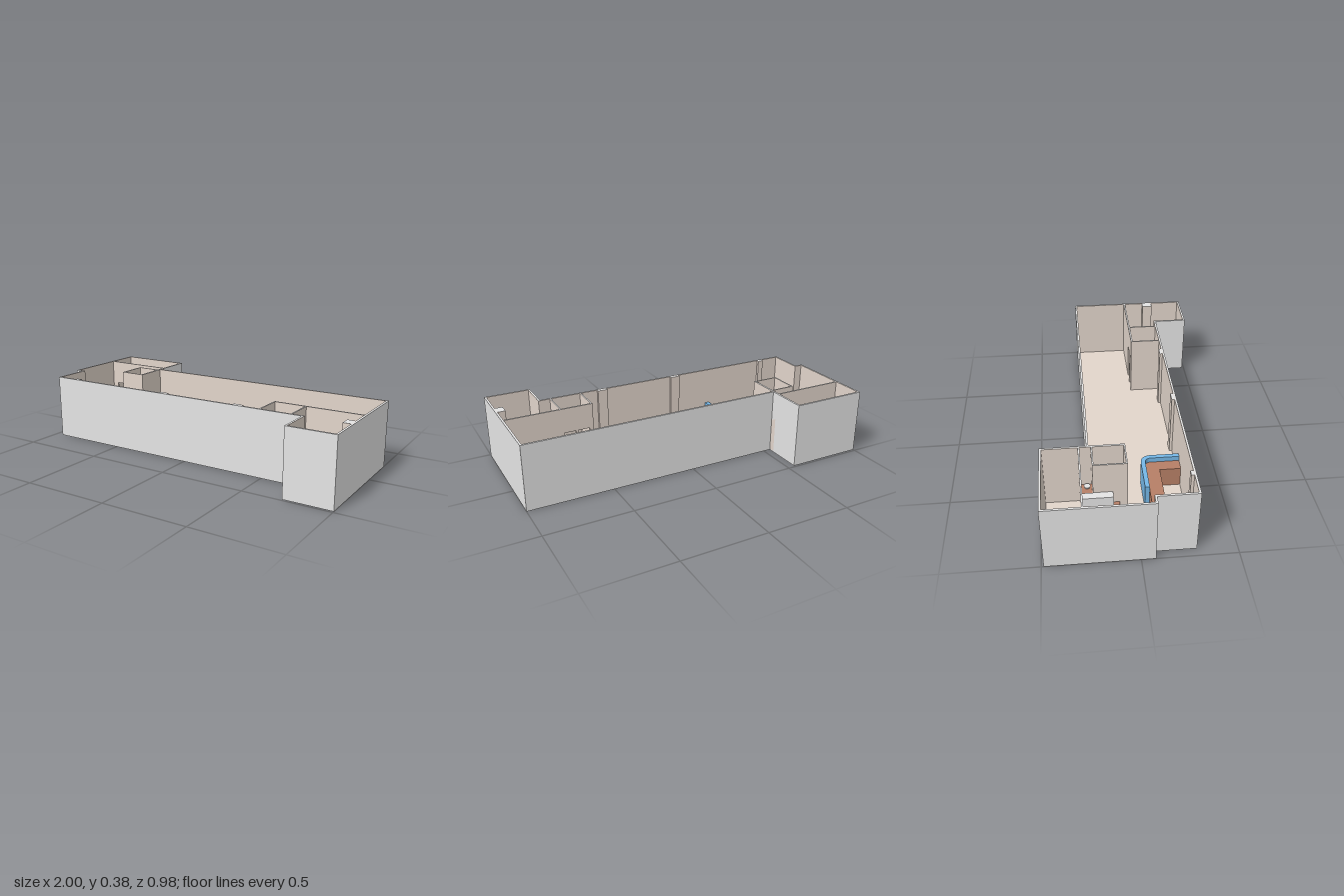
import * as THREE from 'three';

const mat = (name, color) => {
  const m = new THREE.MeshStandardMaterial({ color });
  m.name = name;
  return m;
};

const H = 0.383;      // wall height
const FLOOR = 0.006;  // floor level
const T = 0.012;      // wall thickness

// Outer footprint as [x, z] corners, in order around the plan
const OUTLINE = [
  [-1, -0.488], [-0.545, -0.488], [-0.545, -0.243], [1, -0.243], [1, 0.488],
  [0.725, 0.488], [0.725, 0.29], [-0.952, 0.29], [-0.952, 0.075], [-1, 0.075],
];

// Move every edge of a right-angled plan inwards by d
function inset(pts, d) {
  const n = pts.length;
  const normal = (a, b) => [-Math.sign(b[1] - a[1]), Math.sign(b[0] - a[0])];
  return pts.map((p, i) => {
    const u = normal(pts[(i + n - 1) % n], p);
    const v = normal(p, pts[(i + 1) % n]);
    return [p[0] + d * (u[0] + v[0]), p[1] + d * (u[1] + v[1])];
  });
}

// Plan corners to shape points, turned counter-clockwise
const toVectors = pts => pts.map(([x, z]) => new THREE.Vector2(x, -z)).reverse();

// Extrude a plan shape upwards from y0 to y1
function rise(shape, y0, y1) {
  const g = new THREE.ExtrudeGeometry(shape, { depth: y1 - y0, bevelEnabled: false, curveSegments: 10 });
  return g.rotateX(-Math.PI / 2).translate(0, y0, 0);
}

function ring(outer, inner) {
  const shape = new THREE.Shape(toVectors(outer));
  shape.holes.push(new THREE.Path(toVectors(inner)));
  return shape;
}

export function createModel() {
  const model = new THREE.Group();
  model.name = 'buildingInterior';
  const grey = mat('light grey', 0xe4e4e4);
  const beige = mat('warm beige', 0xe2d5cb);
  const wood = mat('brown wood', 0xb67f66);
  const blue = mat('bar blue', 0x76b8e8);

  const add = (name, geometry, material) => {
    const mesh = new THREE.Mesh(geometry, material);
    mesh.name = name;
    model.add(mesh);
  };
  // Box given by its limits
  const block = (name, x0, x1, z0, z1, y0, y1, material) => add(name,
    new THREE.BoxGeometry(x1 - x0, y1 - y0, z1 - z0)
      .translate((x0 + x1) / 2, (y0 + y1) / 2, (z0 + z1) / 2), material);

  // Outer shell: grey walls, beige lining, slab and floor finish
  const lining = inset(OUTLINE, T - 0.002);
  const room = inset(OUTLINE, T);
  add('outerWalls', rise(ring(OUTLINE, lining), 0, H), grey);
  add('wallLining', rise(ring(lining, room), FLOOR, H), beige);
  add('slab', rise(new THREE.Shape(toVectors(lining)), 0, 0.003), grey);
  add('floor', rise(new THREE.Shape(toVectors(lining)), 0.003, FLOOR), beige);

  // Partitions, with beige sides and grey tops
  const sided = [beige, beige, grey, beige, beige, beige];
  const wall = (name, x0, x1, z0, z1, y0 = FLOOR, y1 = H) => block(name, x0, x1, z0, z1, y0, y1, sided);
  const doorTop = 0.235;

  // Back room wall with a doorway near its left end
  wall('backRoomWall', -0.988, -0.95, -0.288, -0.279);
  wall('backRoomWall', -0.89, -0.557, -0.288, -0.279);
  wall('backRoomLintel', -0.95, -0.89, -0.288, -0.279, doorTop, H);

  // Closet beside the kitchen
  wall('kitchenEndWall', -0.557, -0.545, -0.279, -0.04);
  wall('closetLeftWall', -0.704, -0.696, -0.221, -0.04);
  wall('closetBackWall', -0.696, -0.557, -0.221, -0.213);
  wall('closetFrontWall', -0.696, -0.557, -0.048, -0.04);

  // Front rooms: dividers and a wall with two doorways
  wall('smallRoomSide', 0.475, 0.483, 0.108, 0.278);
  wall('roomDivider', 0.66, 0.668, 0.108, 0.278);
  [[0.475, 0.5], [0.57, 0.583], [0.655, 0.988]].forEach(([a, b]) =>
    wall('frontRoomWall', a, b, 0.098, 0.108));
  [[0.5, 0.57], [0.583, 0.655]].forEach(([a, b]) =>
    wall('doorLintel', a, b, 0.098, 0.108, doorTop, H));

  // Columns along the front wall and the right wall
  [[-0.82, -0.785], [-0.18, -0.12], [0.313, 0.373]].forEach(([a, b]) =>
    wall('frontColumn', a, b, 0.262, 0.278));
  wall('sideColumn', 0.943, 0.988, 0.227, 0.29);

  // Wooden counters and the bench unit
  const counter = 0.125;
  const basinTop = counter + 0.008;
  block('kitchenCounter', -0.706, -0.557, -0.279, -0.221, FLOOR, counter, wood);
  block('sideCounter', -0.763, -0.706, -0.279, -0.082, FLOOR, counter, wood);
  block('wallCounter', -0.94, -0.884, 0.075, 0.278, FLOOR, counter, wood);
  block('benchUnit', -0.988, -0.938, -0.279, -0.06, FLOOR, 0.13, grey);
  block('applianceUnit', -0.748, -0.706, -0.279, -0.117, counter, 0.2, grey);
  block('kitchenSink', -0.688, -0.637, -0.264, -0.231, counter, basinTop, wood);
  block('wallSink', -0.928, -0.893, 0.205, 0.247, counter, basinTop, wood);
  add('washBowl', new THREE.CylinderGeometry(0.018, 0.014, 0.012, 20)
    .translate(-0.582, counter + 0.006, -0.247), grey);

  // L-shaped bar
  const bar = [[-0.805, 0.085], [-0.41, 0.085], [-0.41, 0.278], [-0.478, 0.278], [-0.478, 0.16], [-0.805, 0.16]];
  add('barCounter', rise(new THREE.Shape(toVectors(bar)), FLOOR, counter), wood);

  // Blue bar front with a rounded corner
  const front = new THREE.Shape();
  front.moveTo(-0.642, -0.059);
  front.lineTo(-0.44, -0.059);
  front.absarc(-0.44, -0.114, 0.055, Math.PI / 2, 0, true);
  front.lineTo(-0.385, -0.278);
  front.lineTo(-0.41, -0.278);
  front.lineTo(-0.41, -0.114);
  front.absarc(-0.44, -0.114, 0.03, 0, Math.PI / 2, false);
  front.lineTo(-0.642, -0.084);
  front.closePath();
  add('barFront', rise(front, FLOOR, 0.155), blue);

  // Small stools beside the units
  [[-0.963, -0.031], [-0.733, -0.046]].forEach(([x, z]) => {
    block('stoolBase', x - 0.012, x + 0.012, z - 0.012, z + 0.012, FLOOR, 0.055, grey);
    block('stoolSeat', x - 0.02, x + 0.02, z - 0.02, z + 0.02, 0.055, 0.07, grey);
  });

  // Small stand with a short stem
  block('standPost', -0.504, -0.494, -0.107, -0.097, FLOOR, 0.11, grey);
  block('standTop', -0.516, -0.482, -0.125, -0.082, 0.11, 0.12, grey);
  block('standStem', -0.501, -0.497, -0.082, -0.056, 0.112, 0.118, grey);

  return model;
}
